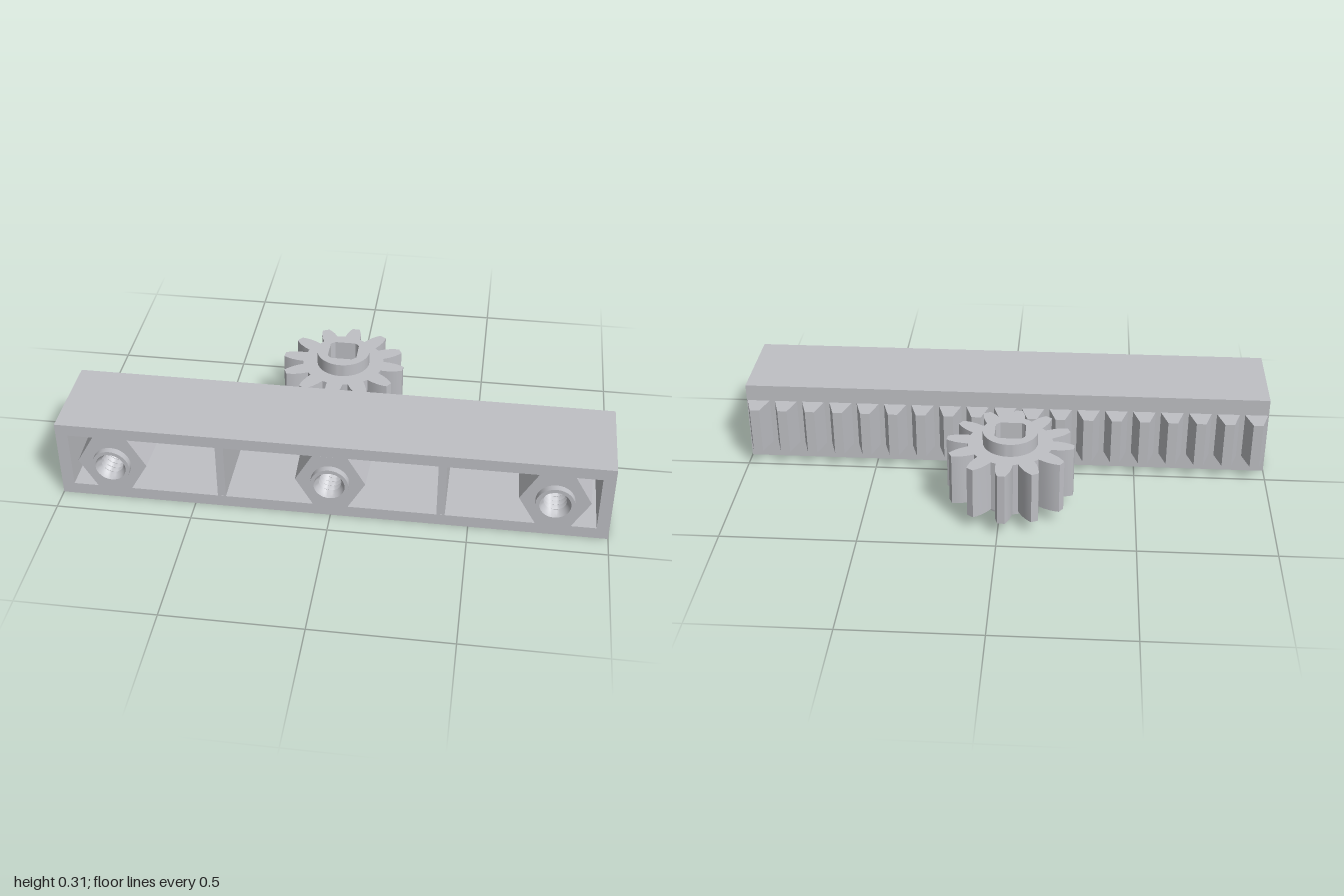
import * as THREE from 'three';
import { toCreasedNormals } from 'three/addons/utils/BufferGeometryUtils.js';

const grey = new THREE.MeshStandardMaterial({ color: 0xbfc0c5 });
grey.name = 'grey plastic';

const LENGTH = 2, HEIGHT = 0.31, MID_Y = 0.155;
const PITCH = 0.106, RACK_TEETH = 19, GEAR_TEETH = 12;
const BACK_Z = 0.065, WALL_Z = 0.11, FRONT_Z = 0.415;

function add(parent, name, geometry) {
  const mesh = new THREE.Mesh(geometry, grey);
  mesh.name = name;
  parent.add(mesh);
  return mesh;
}

function rect(w, h, cx = 0, cy = 0, Type = THREE.Shape) {
  return new Type([[-1, -1], [1, -1], [1, 1], [-1, 1]].map(
    ([a, b]) => new THREE.Vector2(cx + a * w / 2, cy + b * h / 2)));
}

function extrude(shape, depth, curveSegments = 16) {
  return new THREE.ExtrudeGeometry(shape, { depth, bevelEnabled: false, curveSegments });
}

// Extrude a plan (x, -z) upward from y0 to y1
function rise(shape, y0, y1, segments) {
  return extrude(shape, y1 - y0, segments).rotateX(-Math.PI / 2).translate(0, y0, 0);
}

function plan(points) {
  return new THREE.Shape(points.map(([x, z]) => new THREE.Vector2(x, -z)));
}

function buildRack() {
  const rack = new THREE.Group();
  rack.name = 'rack';
  const centres = Array.from({ length: RACK_TEETH }, (_, i) => (i - (RACK_TEETH - 1) / 2) * PITCH);

  // Hollow housing, open at the front
  const frame = rect(LENGTH, HEIGHT, 0, MID_Y);
  frame.holes.push(rect(1.91, 0.22, 0, MID_Y, THREE.Path));
  add(rack, 'housingFrame', extrude(frame, FRONT_Z - WALL_Z).translate(0, 0, WALL_Z));

  // Back wall with a slot leading into each tooth
  const wall = rect(LENGTH, HEIGHT, 0, MID_Y);
  for (const x of centres) wall.holes.push(rect(0.04, 0.095, x, MID_Y, THREE.Path));
  add(rack, 'backWall', extrude(wall, WALL_Z - BACK_Z).translate(0, 0, BACK_Z));

  // Stiffening ribs
  for (const x of [-0.4, 0.4]) {
    add(rack, 'rib', new THREE.BoxGeometry(0.03, 0.22, FRONT_Z - WALL_Z))
      .position.set(x, MID_Y, (FRONT_Z + WALL_Z) / 2 - 0.001);
  }

  // Hollow teeth: solid top and bottom, pocketed middle
  const tip = -0.014;
  const solid = plan([[-0.043, BACK_Z], [0.043, BACK_Z], [0.018, tip], [-0.018, tip]]);
  const pocketed = plan([[-0.043, BACK_Z], [-0.02, BACK_Z], [-0.009, 0.015], [0.009, 0.015],
    [0.02, BACK_Z], [0.043, BACK_Z], [0.018, tip], [-0.018, tip]]);
  const layers = [rise(solid, 0.065, 0.1075), rise(pocketed, 0.1075, 0.2025), rise(solid, 0.2025, 0.246)];
  for (const x of centres) {
    const tooth = new THREE.Group();
    tooth.name = 'rackTooth';
    tooth.position.x = x;
    layers.forEach((g) => add(tooth, 'toothLayer', g));
    rack.add(tooth);
  }

  for (const x of [-0.8, 0, 0.8]) rack.add(buildBoss(x));
  return rack;
}

// Hexagonal mounting boss with a threaded insert
function buildBoss(x) {
  const boss = new THREE.Group();
  boss.name = 'mountingBoss';
  boss.position.set(x, MID_Y, 0);
  const depth = FRONT_Z - WALL_Z;

  const sides = new THREE.CylinderGeometry(0.127, 0.137, depth, 6, 1, true, Math.PI / 2)
    .toNonIndexed().rotateX(Math.PI / 2);
  sides.computeVertexNormals();
  add(boss, 'bossSides', sides).position.z = (FRONT_Z + WALL_Z) / 2;

  const hex = new THREE.Shape(Array.from({ length: 6 }, (_, i) => new THREE.Vector2(
    0.127 * Math.cos(i * Math.PI / 3), 0.127 * Math.sin(i * Math.PI / 3))));
  hex.holes.push(new THREE.Path().absarc(0, 0, 0.066, 0, Math.PI * 2, true));
  add(boss, 'bossFace', new THREE.ShapeGeometry(hex, 32)).position.z = FRONT_Z;

  const profile = [[0.07, 0.40], [0.07, 0.44], [0.056, 0.44], [0.05, 0.425]];
  for (let i = 0; i < 10; i++) {
    profile.push([0.041, 0.413 - i * 0.024], [0.05, 0.401 - i * 0.024]);
  }
  profile.push([0, 0.17]);
  const insert = new THREE.LatheGeometry(profile.map(([r, z]) => new THREE.Vector2(r, z)), 32);
  add(boss, 'threadedInsert', toCreasedNormals(insert.rotateX(Math.PI / 2), 0.5));
  return boss;
}

function buildPinion() {
  const pinion = new THREE.Group();
  pinion.name = 'pinion';
  pinion.position.set(-0.035, 0, -0.204);

  // Toothed wheel: half widths of a tooth from root to tip
  const flank = [[0.156, 0.031], [0.18, 0.030], [0.203, 0.0265], [0.222, 0.020], [0.235, 0.0135]];
  const tooth = [...flank.map(([r, w]) => [r, w]), ...flank.map(([r, w]) => [r, -w]).reverse()];
  const outline = [];
  for (let i = 0; i < GEAR_TEETH; i++) {
    const a = Math.PI / 2 - THREE.MathUtils.degToRad(5) - i * Math.PI * 2 / GEAR_TEETH;
    for (const [r, w] of tooth) {
      const t = a + Math.asin(w / r);
      outline.push(new THREE.Vector2(r * Math.cos(t), r * Math.sin(t)));
    }
  }
  const wheel = new THREE.Shape(outline);
  wheel.holes.push(new THREE.Path().absarc(0, 0, 0.09, 0, Math.PI * 2, true));
  add(pinion, 'gearWheel', toCreasedNormals(rise(wheel, 0.055, 0.255), 0.45));

  // Hub with a rounded square bore
  const hub = new THREE.Shape().absarc(0, 0, 0.101, 0, Math.PI * 2, false);
  const bore = new THREE.Path();
  for (let i = 0; i < 4; i++) {
    const mid = Math.PI / 4 + i * Math.PI / 2;
    bore.absarc(0, 0, 0.068, mid - 0.17, mid + 0.17, false);
  }
  bore.closePath();
  hub.holes.push(bore);
  add(pinion, 'hub', toCreasedNormals(rise(hub, 0.006, 0.305, 32), 0.45));
  return pinion;
}

export function createModel() {
  const model = new THREE.Group();
  model.name = 'rackAndPinion';
  model.add(buildRack(), buildPinion());
  return model;
}
